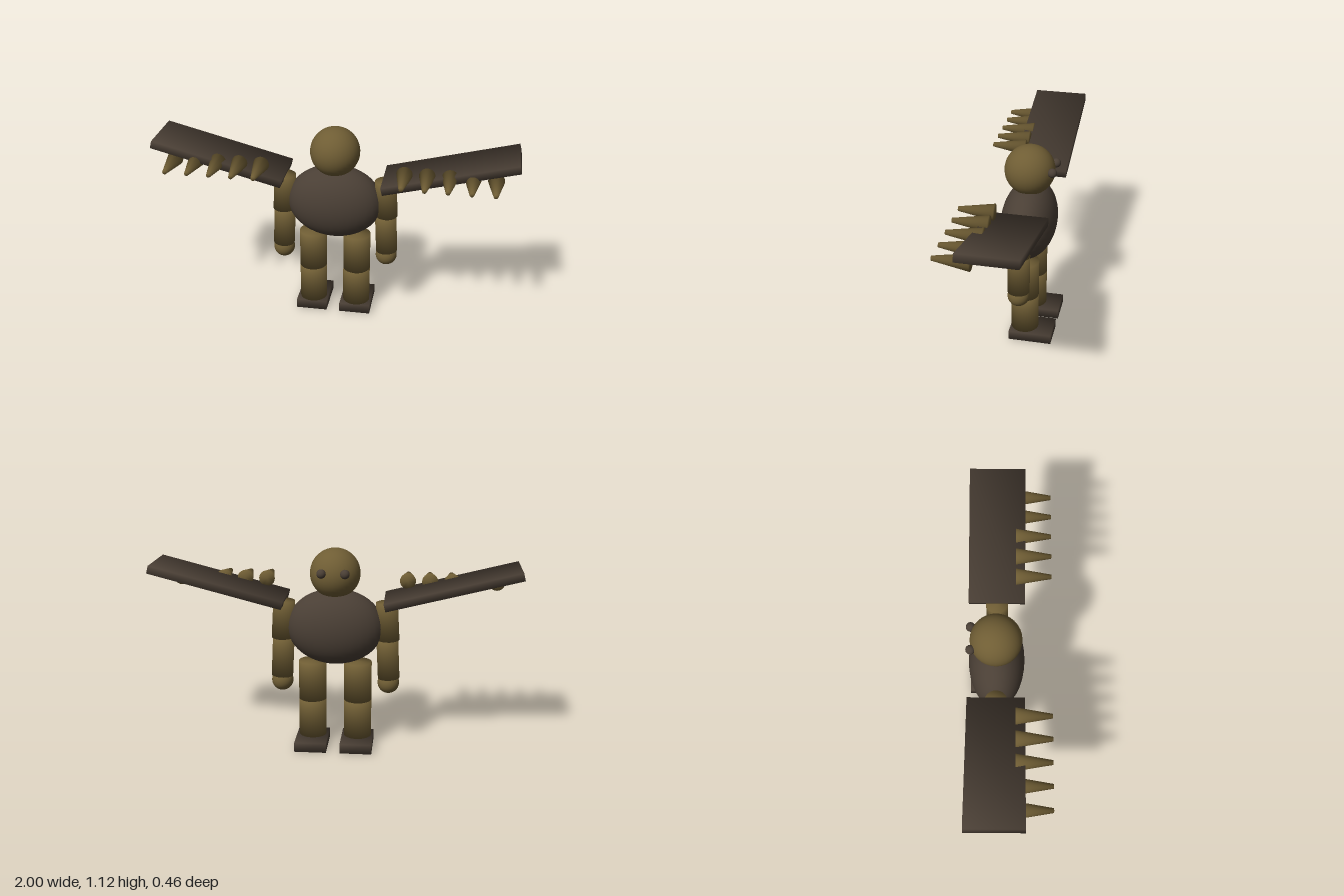
import * as THREE from 'three';

const brown = new THREE.MeshStandardMaterial({ name: 'darkBrown', color: 0x4a3f35 });
const gold = new THREE.MeshStandardMaterial({ name: 'oliveGold', color: 0x6f5d34 });
const DEPTH = -0.063; // shared z of the body line

// Average normals at coincident points so that every edge is shaded softly
function soften(geo) {
  const p = geo.attributes.position, n = geo.attributes.normal, sums = new Map();
  const key = (i) => [p.getX(i), p.getY(i), p.getZ(i)].map((v) => Math.round(v * 1e4)).join();
  const v = new THREE.Vector3();
  for (let i = 0; i < p.count; i++) {
    const k = key(i);
    if (!sums.has(k)) sums.set(k, new THREE.Vector3());
    sums.get(k).add(v.fromBufferAttribute(n, i));
  }
  for (let i = 0; i < p.count; i++) {
    v.copy(sums.get(key(i))).normalize();
    n.setXYZ(i, v.x, v.y, v.z);
  }
  return geo;
}

const ball = (r) => new THREE.SphereGeometry(r, 32, 24);
const rod = (r, h) => soften(new THREE.CylinderGeometry(r, r, h, 32));
const block = (w, h, d) => soften(new THREE.BoxGeometry(w, h, d));

function add(parent, name, geo, mat, x, y, z) {
  const mesh = new THREE.Mesh(geo, mat);
  mesh.name = name;
  mesh.position.set(x, y, z);
  parent.add(mesh);
  return mesh;
}

export function createModel() {
  const model = new THREE.Group();
  model.name = 'wingedFigure';

  // Torso and head
  add(model, 'torso', ball(1), brown, 0, 0.684, DEPTH).scale.set(0.266, 0.211, 0.152);
  add(model, 'head', ball(0.137), gold, 0, 0.983, DEPTH);

  for (const s of [1, -1]) {
    const side = s > 0 ? 'left' : 'right';

    // Eye on the far side of the head
    add(model, side + 'Eye', ball(0.025), brown, s * 0.063, 1.005, -0.195);

    // Arm, leaning slightly outwards
    const arm = new THREE.Group();
    arm.name = side + 'Arm';
    add(arm, 'upperArm', rod(0.06, 0.212), gold, s * 0.287, 0.72, DEPTH).rotation.z = s * 0.06;
    add(arm, 'forearm', rod(0.06, 0.22), gold, s * 0.292, 0.506, DEPTH).rotation.z = s * 0.05;
    add(arm, 'hand', ball(0.06), gold, s * 0.296, 0.368, DEPTH);
    model.add(arm);

    // Leg with a slab foot
    const leg = new THREE.Group();
    leg.name = side + 'Leg';
    add(leg, 'thigh', rod(0.077, 0.22), gold, s * 0.126, 0.375, DEPTH - 0.002);
    add(leg, 'shin', rod(0.077, 0.215), gold, s * 0.126, 0.158, DEPTH - 0.002);
    add(leg, 'foot', block(0.176, 0.053, 0.242), brown, s * 0.126, 0.0265, -0.108);
    model.add(leg);

    // Wing board with a row of blunt spikes along one edge
    const wing = new THREE.Group();
    wing.name = side + 'Wing';
    add(wing, 'wingBoard', block(0.743, 0.043, 0.305), brown, s * 0.634, 0.922, DEPTH).rotation.z = s * 0.25;
    for (let i = 0; i < 5; i++) {
      const spike = soften(new THREE.CylinderGeometry(0.012, 0.044, 0.19, 24));
      add(wing, 'spike', spike, gold, s * (0.391 + i * 0.121), 0.922, 0.135).rotation.x = Math.PI / 2;
    }
    model.add(wing);
  }
  return model;
}
